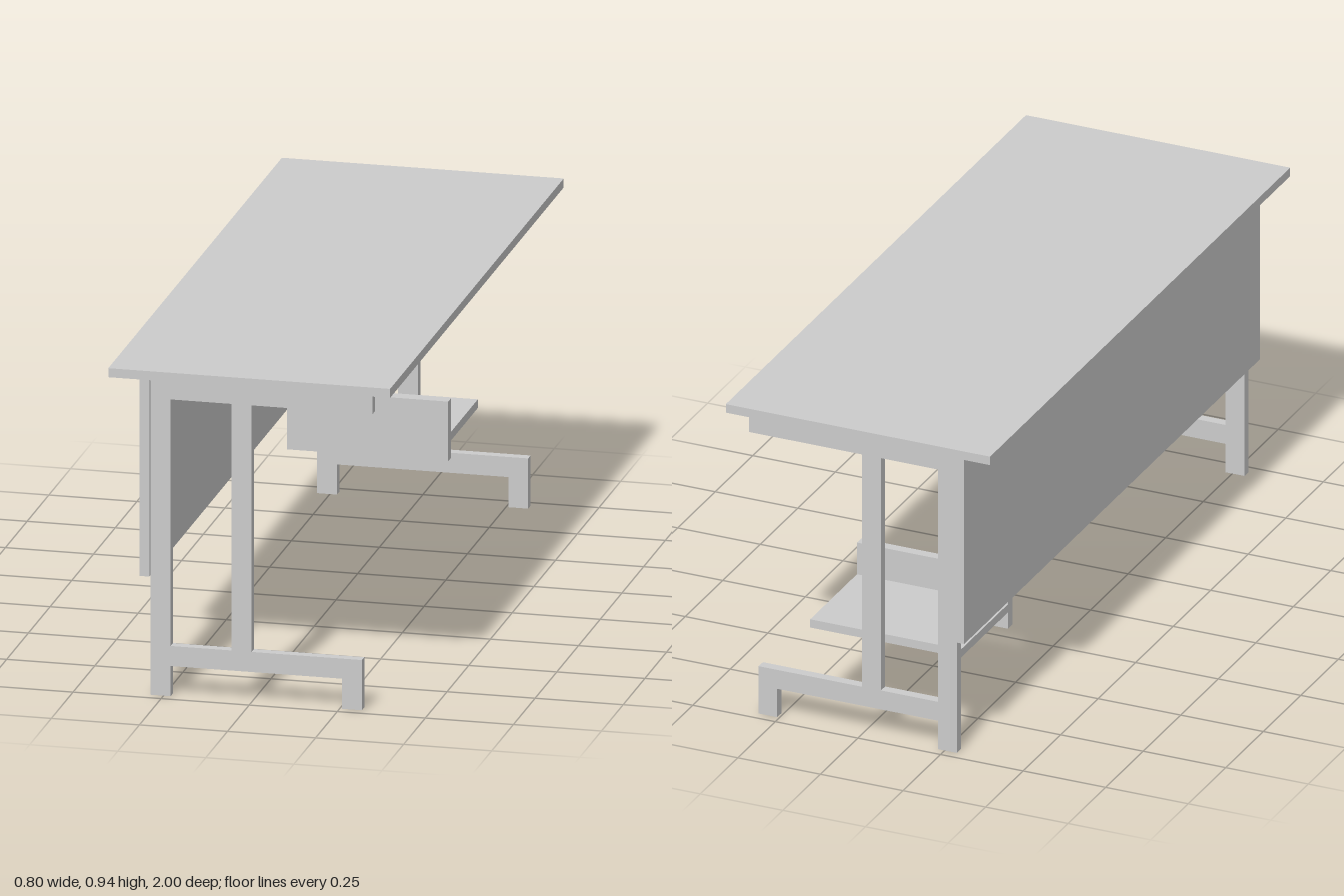
import * as THREE from 'three';

const material = new THREE.MeshStandardMaterial({ color: 0xcccccc, flatShading: true });

// Box given by its minimum and maximum along each axis
function board(name, [x0, x1], [y0, y1], [z0, z1]) {
  const mesh = new THREE.Mesh(new THREE.BoxGeometry(x1 - x0, y1 - y0, z1 - z0), material);
  mesh.position.set((x0 + x1) / 2, (y0 + y1) / 2, (z0 + z1) / 2);
  mesh.name = name;
  return mesh;
}

const toPoints = (list) => list.map(([x, y]) => new THREE.Vector2(x, y));

// Side frame: legs, foot, rails and posts cut as one outline with two openings
function sideFrameGeometry(thickness) {
  const shape = new THREE.Shape(toPoints([
    [-0.287, 0], [-0.23, 0], [-0.23, 0.087], [0.257, 0.087], [0.257, 0], [0.313, 0],
    [0.313, 0.145], [0, 0.145], [0, 0.857], [0.343, 0.857], [0.343, 0.917], [-0.287, 0.917],
  ]));
  shape.holes.push(new THREE.Path(toPoints([
    [-0.23, 0.145], [-0.23, 0.857], [-0.057, 0.857], [-0.057, 0.145],
  ])));
  return new THREE.ExtrudeGeometry(shape, { depth: thickness, bevelEnabled: false })
    .translate(0, 0, -thickness / 2);
}

export function createModel() {
  const desk = new THREE.Group();
  desk.name = 'desk';

  desk.add(board('tabletop', [-0.4, 0.4], [0.917, 0.943], [-1, 1]));
  desk.add(board('modestyPanel', [-0.315, -0.287], [0.345, 0.917], [-0.985, 0.985]));

  // One frame at each end
  const frame = sideFrameGeometry(0.028);
  for (const [name, z] of [['frontFrame', 0.958], ['backFrame', -0.958]]) {
    const mesh = new THREE.Mesh(frame, material);
    mesh.position.z = z;
    mesh.name = name;
    desk.add(mesh);
  }

  // Low shelf carried by the back frame, with an upright board on its inner edge
  desk.add(board('shelf', [-0.287, 0.17], [0.28, 0.305], [-0.944, -0.632]));
  desk.add(board('shelfGuard', [-0.287, 0.17], [0.23, 0.402], [-0.632, -0.603]));

  return desk;
}
